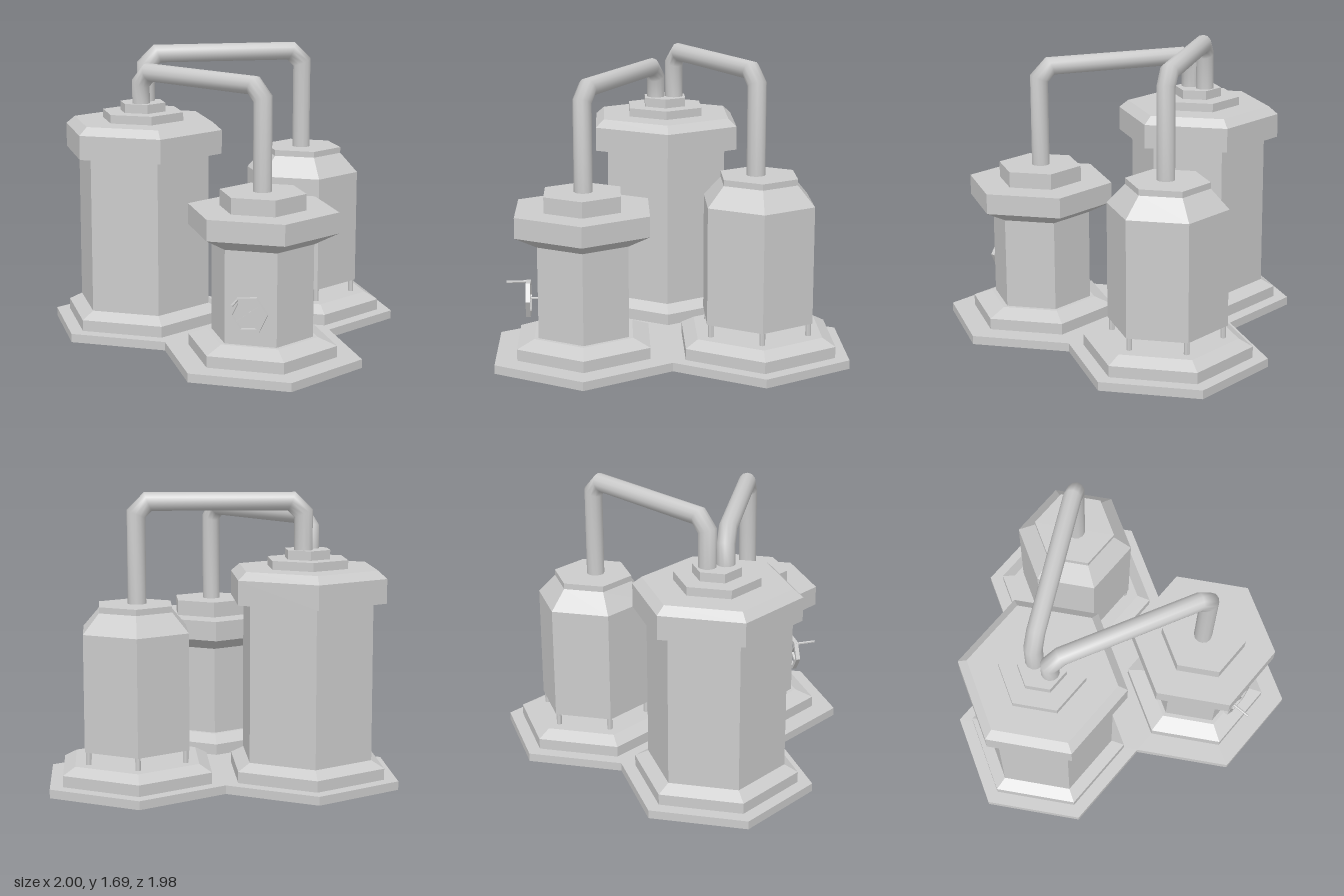
import * as THREE from 'three';

const R = 0.571, APOTHEM = R * Math.cos(Math.PI / 6);
const flat = new THREE.MeshStandardMaterial({ color: 0xcccccc, flatShading: true, side: THREE.DoubleSide });
const smooth = new THREE.MeshStandardMaterial({ color: 0xcccccc, side: THREE.DoubleSide });

function add(parent, name, geometry, material = flat) {
  const mesh = new THREE.Mesh(geometry, material);
  mesh.name = name;
  parent.add(mesh);
  return mesh;
}

// Six-sided solid or shell from a [radius, height] profile, corners on the x axis
function hex(parent, name, profile) {
  const points = profile.map(([r, y]) => new THREE.Vector2(r, y));
  return add(parent, name, new THREE.LatheGeometry(points, 6, Math.PI / 6));
}

// Bent pipe with mitred corners and smooth normals
function pipeGeometry(from, to, top, radius, bevel, sides = 12) {
  const length = Math.hypot(to.x - from.x, to.z - from.z);
  const along = new THREE.Vector3(to.x - from.x, 0, to.z - from.z).divideScalar(length);
  const across = new THREE.Vector3(-along.z, 0, along.x);
  const path = [[0, from.y], [0, top - bevel], [bevel, top], [length - bevel, top], [length, top - bevel], [length, to.y]]
    .map(([u, v]) => new THREE.Vector2(u, v));
  const positions = [], index = [];
  path.forEach((p, i) => {
    const a = path[Math.max(i, 1)].clone().sub(path[Math.max(i, 1) - 1]).normalize();
    const j = Math.min(i, path.length - 2);
    const b = path[j + 1].clone().sub(path[j]).normalize();
    const tangent = a.clone().add(b).normalize();
    const stretch = radius / tangent.dot(a);
    for (let k = 0; k < sides; k++) {
      const t = k / sides * Math.PI * 2;
      const n = Math.cos(t) * stretch, s = Math.sin(t) * radius;
      const u = p.x - tangent.y * n, v = p.y + tangent.x * n;
      positions.push(from.x + along.x * u + across.x * s, v, from.z + along.z * u + across.z * s);
      if (i < path.length - 1) {
        const q = i * sides + k, r = i * sides + (k + 1) % sides;
        index.push(q, q + sides, r, r, q + sides, r + sides);
      }
    }
  });
  const g = new THREE.BufferGeometry();
  g.setAttribute('position', new THREE.Float32BufferAttribute(positions, 3));
  g.setIndex(index);
  g.computeVertexNormals();
  return g;
}

function createValve() {
  const valve = new THREE.Group();
  valve.name = 'valve';
  // Six-sided rim
  const ring = (r) => Array.from({ length: 6 }, (_, k) =>
    new THREE.Vector2(Math.cos(k * Math.PI / 3) * r, Math.sin(k * Math.PI / 3) * r));
  const shape = new THREE.Shape(ring(0.111));
  shape.holes.push(new THREE.Path(ring(0.088)));
  const wheel = new THREE.Group();
  wheel.name = 'valveWheel';
  wheel.rotation.z = 0.08;
  valve.add(wheel);
  add(wheel, 'valveRim', new THREE.ExtrudeGeometry(shape, { depth: 0.026, bevelEnabled: false })).position.z = 0.05;
  // Crossed spokes
  for (const angle of [0.55, 2.12]) {
    const spoke = add(wheel, 'valveSpoke', new THREE.BoxGeometry(0.175, 0.014, 0.014));
    spoke.position.z = 0.063;
    spoke.rotation.z = angle;
  }
  // Stem and crank handle
  const stem = add(valve, 'valveStem', new THREE.CylinderGeometry(0.006, 0.006, 0.08, 6));
  stem.rotation.x = Math.PI / 2;
  stem.position.z = 0.03;
  const handle = add(valve, 'valveHandle', new THREE.CylinderGeometry(0.008, 0.008, 0.13, 6));
  handle.rotation.x = Math.PI / 2;
  handle.position.set(-0.06, 0.08, 0.125);
  return valve;
}

export function createModel() {
  const model = new THREE.Group();
  model.name = 'tankStation';
  const tiles = [
    { name: 'tallTank', x: -0.75 * R, z: 0, base: 0.485, top: 0.405 },
    { name: 'rearTank', x: 0.75 * R, z: -APOTHEM, base: 0.485, top: 0.405 },
    { name: 'frontTank', x: 0.75 * R, z: APOTHEM, base: 0.43, top: 0.32 },
  ];

  // Hollow floor tiles, walled only along the outer edge, with stepped plinths
  const [tall, rear, front] = tiles.map((t) => {
    const group = new THREE.Group();
    group.name = t.name;
    group.position.set(t.x, 0, t.z);
    model.add(group);
    hex(group, 'floorTile', [[R, 0.05], [t.base, 0.05]]);
    hex(group, 'plinth', [[t.base, 0.05], [t.base, 0.115], [t.top, 0.157], [0, 0.157]]);
    for (let k = 0; k < 6; k++) {
      const a = (k + 0.5) * Math.PI / 3;
      const mx = Math.cos(a) * APOTHEM, mz = Math.sin(a) * APOTHEM;
      const shared = tiles.some((o) => o !== t && Math.hypot(o.x - t.x - mx, o.z - t.z - mz) < APOTHEM + 0.05);
      if (shared) continue;
      const wall = add(group, 'tileEdge', new THREE.PlaneGeometry(R, 0.05));
      wall.position.set(mx, 0.025, mz);
      wall.rotation.y = Math.PI / 2 - a;
    }
    return group;
  });

  // Tall tank
  hex(tall, 'tankBody', [[0.405, 0.157], [0.405, 1.07]]);
  hex(tall, 'tankCap', [[0.405, 1.07], [0.485, 1.07], [0.485, 1.21], [0.43, 1.255], [0, 1.255]]);
  hex(tall, 'lowerCollar', [[0.25, 1.255], [0.25, 1.305], [0, 1.305]]);
  hex(tall, 'upperCollar', [[0.14, 1.305], [0.14, 1.358], [0, 1.358]]);

  // Rear tank raised on six posts
  hex(rear, 'tankBody', [[0, 0.23], [0.343, 0.23], [0.343, 0.905], [0.238, 1.018], [0.238, 1.053], [0, 1.053]]);
  for (let k = 0; k < 6; k++) {
    const a = k * Math.PI / 3;
    add(rear, 'supportPost', new THREE.CylinderGeometry(0.016, 0.016, 0.09, 8))
      .position.set(Math.cos(a) * 0.318, 0.194, Math.sin(a) * 0.318);
  }

  // Front tank with flared cap
  hex(front, 'tankBody', [[0.293, 0.157], [0.293, 0.685]]);
  hex(front, 'tankCap', [[0.293, 0.685], [0.43, 0.755], [0.43, 0.873], [0, 0.873]]);
  hex(front, 'collar', [[0.247, 0.873], [0.247, 0.965], [0, 0.965]]);
  const valve = createValve();
  valve.position.set(0, 0.347, 0.25);
  front.add(valve);

  // Connecting pipes
  const V = (x, y, z) => new THREE.Vector3(x, y, z);
  add(model, 'frontPipe', pipeGeometry(V(0.425, 0.95, 0.49), V(-0.42, 1.345, 0.055), 1.545, 0.053, 0.068), smooth);
  add(model, 'rearPipe', pipeGeometry(V(0.425, 1.04, -0.478), V(-0.425, 1.345, -0.055), 1.635, 0.053, 0.068), smooth);
  return model;
}
